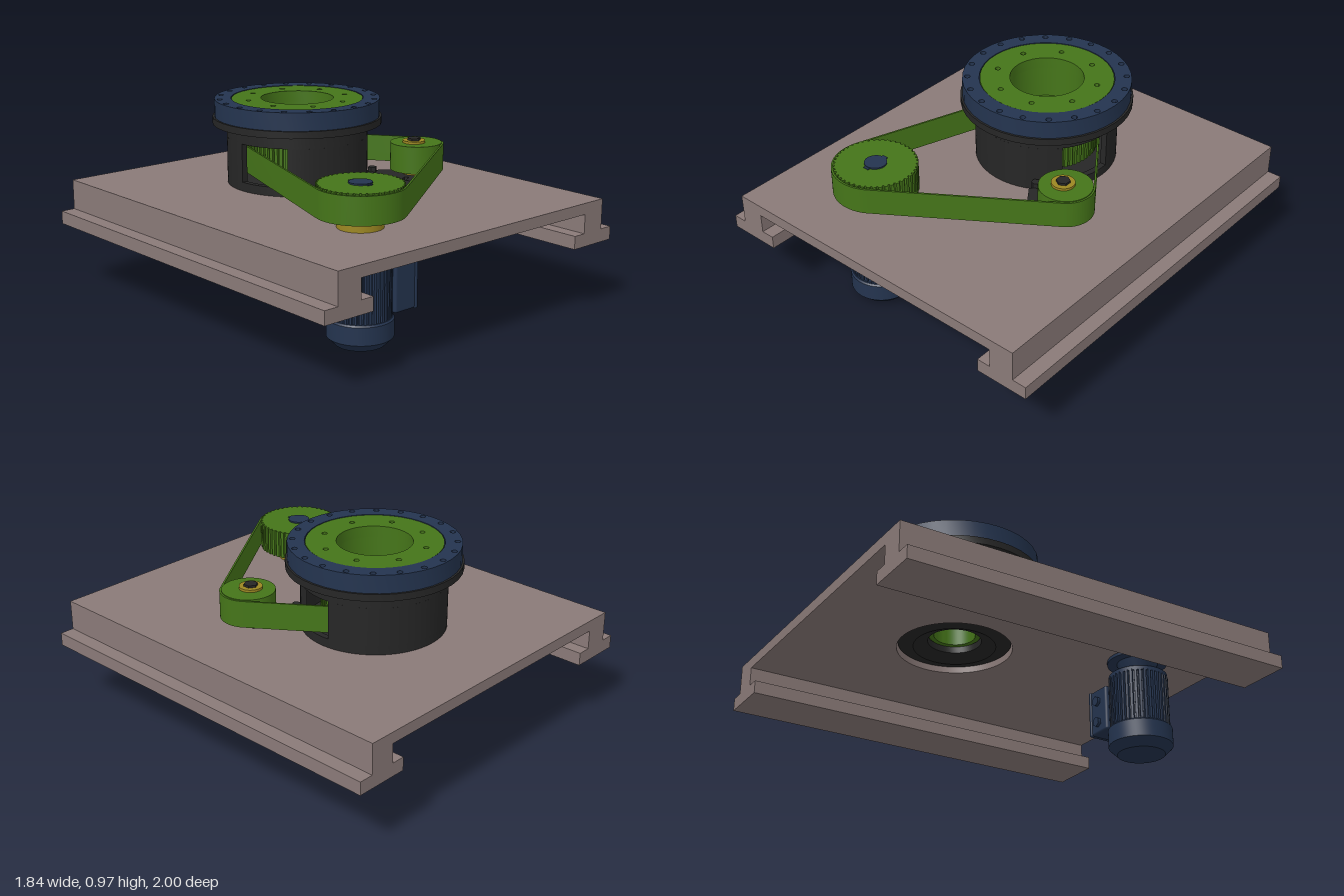
import * as THREE from 'three';
import { toCreasedNormals } from 'three/addons/utils/BufferGeometryUtils.js';
import { RoundedBoxGeometry } from 'three/addons/geometries/RoundedBoxGeometry.js';

const mat = (color) => new THREE.MeshStandardMaterial({ color });
const PI = Math.PI, TAU = PI * 2, deg = PI / 180;

export function createModel() {
  const model = new THREE.Group();
  const mauve = mat(0x8a7a78), blue = mat(0x24344f), green = mat(0x457519);
  const black = mat(0x262626), yellow = mat(0x9c8722);

  const add = (parent, name, geo, material, x = 0, y = 0, z = 0) => {
    const m = new THREE.Mesh(geo, material);
    m.name = name;
    m.position.set(x, y, z);
    parent.add(m);
    return m;
  };
  const group = (name, x = 0, z = 0) => {
    const g = new THREE.Group();
    g.name = name;
    g.position.set(x, 0, z);
    model.add(g);
    return g;
  };
  // plan outline (x, -z) raised from y0 to y1
  const slab = (shape, y0, y1, segs = 48) => {
    const g = new THREE.ExtrudeGeometry(shape, { depth: y1 - y0, bevelEnabled: false, curveSegments: segs });
    return toCreasedNormals(g.rotateX(-PI / 2).translate(0, y0, 0), 0.5);
  };
  // closed or open profile of [radius, y], outside read upwards
  const lathe = (pts, segs = 64) =>
    toCreasedNormals(new THREE.LatheGeometry(pts.map(([r, y]) => new THREE.Vector2(r, y)), segs), 0.5);
  const disc = (r, y0, y1, segs = 48) => lathe([[0, y0], [r, y0], [r, y1], [0, y1]], segs);
  const circle = (x, y, r) => new THREE.Path().absarc(x, y, r, 0, TAU, false);
  // annulus with a circle of bolt holes
  const drilled = (rOut, rIn, count, pitch, rHole, start) => {
    const s = new THREE.Shape().absarc(0, 0, rOut, 0, TAU, false);
    s.holes.push(circle(0, 0, rIn));
    for (let i = 0; i < count; i++) {
      const a = start + (i * TAU) / count;
      s.holes.push(circle(pitch * Math.cos(a), pitch * Math.sin(a), rHole));
    }
    return s;
  };
  const arcWall = (r0, r1, a0, a1) => {
    const s = new THREE.Shape();
    s.absarc(0, 0, r1, a0 * deg, a1 * deg, false);
    s.absarc(0, 0, r0, a1 * deg, a0 * deg, true);
    return s;
  };
  // toothed wheel outline
  const gear = (r, depth, teeth, bore) => {
    const pts = [];
    for (let i = 0; i < teeth; i++)
      [[0, r], [0.55, r], [0.65, r - depth], [0.9, r - depth]].forEach(([t, q]) => {
        const a = ((i + t) / teeth) * TAU;
        pts.push(new THREE.Vector2(q * Math.cos(a), q * Math.sin(a)));
      });
    const s = new THREE.Shape(pts);
    if (bore) s.holes.push(circle(0, 0, bore));
    return s;
  };

  // base plate on two flanged rails
  const base = group('base');
  const plate = new THREE.Shape();
  plate.moveTo(-0.848, -1).lineTo(0.848, -1).lineTo(0.848, 1).lineTo(-0.848, 1).closePath();
  plate.holes.push(circle(0, 0.25, 0.28));
  add(base, 'basePlate', slab(plate, 0.49, 0.545), mauve);
  for (const side of [-1, 1]) {
    const rail = new THREE.Shape();
    [[0.72, 0.49], [0.72, 0.395], [0.652, 0.395], [0.652, 0.33], [0.92, 0.33], [0.92, 0.395], [0.848, 0.395], [0.848, 0.49]]
      .forEach(([x, y], i) => (i ? rail.lineTo(side * x, y) : rail.moveTo(side * x, y)));
    const g = new THREE.ExtrudeGeometry(rail, { depth: 2, bevelEnabled: false });
    add(base, side > 0 ? 'leftRail' : 'rightRail', g, mauve, 0, 0, -1);
  }

  // turntable housing with two belt windows
  const table = group('turntable', 0, -0.25);
  add(table, 'housingFloor', lathe([[0.13, 0.53], [0.2, 0.5], [0.275, 0.52], [0.275, 0.546], [0.35, 0.546],
    [0.35, 0.59], [0.32, 0.59], [0.32, 0.565], [0.13, 0.565], [0.13, 0.53]]), black);
  add(table, 'housingBack', slab(arcWall(0.32, 0.35, 5, 180), 0.59, 0.78), black);
  add(table, 'housingFront', slab(arcWall(0.32, 0.35, -138, -38), 0.59, 0.78), black);
  add(table, 'housingTop', lathe([[0.32, 0.78], [0.35, 0.78], [0.35, 0.847], [0.32, 0.847], [0.32, 0.78]]), black);
  const start = 4.5 * deg;
  add(table, 'flange', slab(drilled(0.42, 0.3, 20, 0.385, 0.014, start), 0.845, 0.88, 20), black);
  add(table, 'outerRing', slab(drilled(0.41, 0.328, 20, 0.385, 0.014, start), 0.88, 0.968, 20), blue);

  // rotating hub with stepped bore
  add(table, 'hubTop', slab(drilled(0.325, 0.18, 8, 0.25, 0.013, 22.5 * deg), 0.91, 0.966, 20), green);
  add(table, 'hub', lathe([[0.1, 0.56], [0.125, 0.56], [0.125, 0.6], [0.2, 0.6], [0.2, 0.79], [0.29, 0.79],
    [0.29, 0.86], [0.325, 0.89], [0.325, 0.91], [0.18, 0.91], [0.18, 0.75], [0.1, 0.75], [0.1, 0.56]]), green);
  add(table, 'hubPulley', slab(gear(0.255, 0.01, 60, 0.19), 0.6, 0.76), green);

  // drive pulley on the motor shaft
  const drive = group('drivePulley', -0.345, 0.587);
  add(drive, 'toothedWheel', slab(gear(0.2, 0.01, 44), 0.605, 0.745), green);
  add(drive, 'clampBush', disc(0.107, 0.545, 0.606), yellow);
  add(drive, 'shaft', disc(0.054, 0.4, 0.752), blue);
  add(drive, 'shaftKey', new THREE.BoxGeometry(0.03, 0.03, 0.13), blue, 0, 0.734, 0);

  // eccentric idler with its tension arm
  const idler = group('idler', 0.44, 0.147);
  add(idler, 'idlerRoller', disc(0.128, 0.605, 0.742), green);
  add(idler, 'idlerBush', disc(0.056, 0.585, 0.754), yellow, -0.015);
  add(idler, 'idlerBolt', disc(0.034, 0.55, 0.765, 6), black, -0.015);
  const arm = new THREE.Shape();
  arm.moveTo(0.19, -0.11).lineTo(0.29, -0.25).lineTo(0.3, -0.275).lineTo(0.36, -0.275).lineTo(0.36, -0.24);
  arm.lineTo(0.46, -0.19).lineTo(0.46, -0.1).lineTo(0.36, 0.0).lineTo(0.28, 0.05).closePath();
  const slot = new THREE.Path();
  slot.moveTo(0.27, -0.21).lineTo(0.33, -0.18).lineTo(0.34, -0.2).lineTo(0.28, -0.235).closePath();
  arm.holes.push(slot);
  add(model, 'tensionArm', slab(arm, 0.556, 0.585), black);
  for (const [x, z] of [[0.2, 0.07], [0.29, -0.01]])
    add(model, 'armBolt', disc(0.022, 0.545, 0.61, 6), black, x, 0, z);

  // belt: outer tangents around the three wheels, counter-clockwise in plan
  const wheels = [[-0.345, -0.587, 0.2], [0.44, -0.147, 0.128], [0, 0.25, 0.257]];
  const tangent = ([x0, y0, r0], [x1, y1, r1]) =>
    Math.atan2(y1 - y0, x1 - x0) - Math.acos((r0 - r1) / Math.hypot(x1 - x0, y1 - y0));
  const beltLoop = (path, grow) => {
    wheels.forEach((w, i) => {
      const a0 = tangent(wheels[(i + 2) % 3], w);
      const a1 = tangent(w, wheels[(i + 1) % 3]);
      path.absarc(w[0], w[1], w[2] + grow, a0, a1, false);
    });
    path.closePath();
    return path;
  };
  const beltShape = beltLoop(new THREE.Shape(), 0.009);
  beltShape.holes.push(beltLoop(new THREE.Path(), 0.0));
  add(model, 'belt', slab(beltShape, 0.605, 0.738), green);

  // electric motor hanging below the plate
  const motor = group('motor', -0.345, 0.59);
  add(motor, 'mountingFlange', disc(0.147, 0.475, 0.49), blue);
  add(motor, 'motorNeck', lathe([[0, 0.4], [0.1, 0.4], [0.1, 0.425], [0.085, 0.435], [0.1, 0.475], [0, 0.475]]), blue);
  add(motor, 'endShield', lathe([[0, 0.385], [0.143, 0.385], [0.143, 0.405], [0.135, 0.412], [0, 0.412]]), blue);
  add(motor, 'finnedBody', slab(gear(0.145, 0.014, 40), 0.12, 0.39), blue);
  add(motor, 'fanCover', lathe([[0, 0], [0.115, 0], [0.155, 0.04], [0.155, 0.125], [0.148, 0.133], [0, 0.133]]), blue);
  add(motor, 'terminalBox', new RoundedBoxGeometry(0.13, 0.23, 0.25, 2, 0.012), blue, 0.165, 0.26, 0);
  add(motor, 'terminalLid', new RoundedBoxGeometry(0.02, 0.235, 0.26, 2, 0.008), blue, 0.228, 0.26, 0);
  for (const y of [0.2, 0.31]) {
    const gland = add(motor, 'cableGland', new THREE.CylinderGeometry(0.025, 0.025, 0.02, 6), blue, 0.17, y, -0.13);
    gland.rotation.x = PI / 2;
  }
  return model;
}
